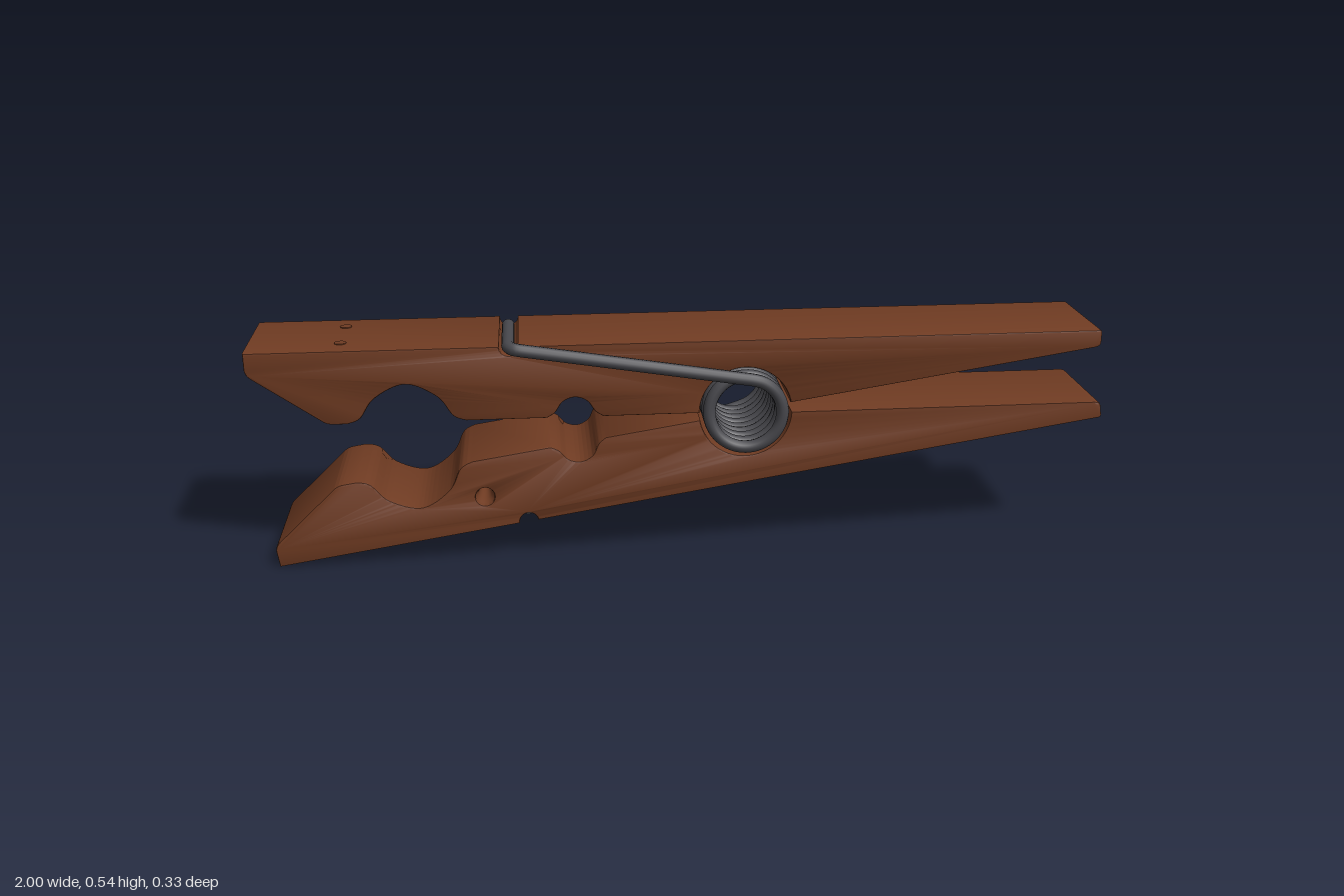
import * as THREE from 'three';
import { toCreasedNormals } from 'three/addons/utils/BufferGeometryUtils.js';

const PIVOT = new THREE.Vector2(0.137, 0.355); // centre of the spring coil
const OPEN = THREE.MathUtils.degToRad(8.9);    // angle between the two jaws
const DEPTH = 0.265, BEVEL = 0.005;
const COIL_R = 0.085, WIRE_R = 0.0148, WIRE_Z = 0.15;

const pts = (list) => list.map(([x, y]) => new THREE.Vector2(x, y));

// Side profile of one wooden half
function jawShape() {
  const s = new THREE.Shape();
  s.moveTo(-1, 0.53);
  s.lineTo(-1, 0.492);
  s.quadraticCurveTo(-1, 0.478, -0.985, 0.467);
  s.lineTo(-0.835, 0.362);
  s.quadraticCurveTo(-0.825, 0.355, -0.81, 0.355);
  s.lineTo(-0.78, 0.355);
  // large gripping hollow
  s.splineThru(pts([[-0.75, 0.368], [-0.715, 0.415], [-0.645, 0.446],
    [-0.575, 0.415], [-0.54, 0.368], [-0.51, 0.355]]));
  s.lineTo(-0.325, 0.355);
  // small hollow
  s.splineThru(pts([[-0.306, 0.368], [-0.288, 0.393], [-0.26, 0.403],
    [-0.232, 0.393], [-0.214, 0.368], [-0.195, 0.355]]));
  // seat for the coil
  s.lineTo(PIVOT.x - 0.108, PIVOT.y);
  s.absarc(PIVOT.x, PIVOT.y, 0.108, Math.PI, 0.18, true);
  // tapered handle
  s.lineTo(0.965, 0.487);
  s.quadraticCurveTo(0.98, 0.49, 0.98, 0.5);
  s.lineTo(0.98, 0.522);
  s.quadraticCurveTo(0.98, 0.53, 0.972, 0.53);
  // groove for the wire
  s.lineTo(-0.386, 0.53);
  s.absarc(-0.408, 0.53, 0.022, 0, -Math.PI, true);
  s.closePath();
  return s;
}

function jawMesh(name, material, hole) {
  const shape = jawShape();
  if (hole) {
    const h = new THREE.Path();
    h.absarc(hole.x, hole.y, 0.022, 0, Math.PI * 2, true);
    shape.holes.push(h);
  }
  const geo = new THREE.ExtrudeGeometry(shape, {
    depth: DEPTH - 2 * BEVEL, curveSegments: 20, bevelEnabled: true,
    bevelThickness: BEVEL, bevelSize: BEVEL, bevelOffset: -BEVEL, bevelSegments: 2,
  });
  geo.translate(-PIVOT.x, -PIVOT.y, -DEPTH / 2 + BEVEL);
  const mesh = new THREE.Mesh(toCreasedNormals(geo, 0.6), material);
  mesh.name = name;
  return mesh;
}

// Wire points for one arm, from its free end to the coil, relative to the pivot
function armPoints() {
  const a = THREE.MathUtils.degToRad(80.8);
  const end = new THREE.Vector3(COIL_R * Math.cos(a), COIL_R * Math.sin(a), WIRE_Z);
  const dir = new THREE.Vector3(-Math.sin(a), Math.cos(a), 0);
  const corner = end.clone().addScaledVector(dir, 0.567);
  const list = [];
  for (const z of [-0.05, 0, 0.06, 0.11]) list.push(new THREE.Vector3(corner.x, corner.y, z));
  const r = 0.024;
  for (let i = 0; i <= 5; i++) { // rounded corner
    const t = (i / 5) * Math.PI / 2;
    list.push(corner.clone().addScaledVector(dir, -r * (1 - Math.cos(t)))
      .setZ(WIRE_Z - r + r * Math.sin(t)));
  }
  for (const d of [0.5, 0.4, 0.25, 0.1, 0.03]) list.push(end.clone().addScaledVector(dir, d));
  return list;
}

function buildSpring(material) {
  const spring = new THREE.Group();
  spring.name = 'spring';
  const first = armPoints();
  const flip = new THREE.Euler(Math.PI, 0, -OPEN);
  const second = armPoints().map((p) => p.applyEuler(flip)).reverse();
  const start = THREE.MathUtils.degToRad(80.8);
  const sweep = 2 * start - OPEN + Math.PI * 18;
  const coil = [];
  const n = 230;
  for (let i = 0; i <= n; i++) {
    const a = start - sweep * i / n;
    coil.push(new THREE.Vector3(COIL_R * Math.cos(a), COIL_R * Math.sin(a),
      WIRE_Z * (1 - 2 * i / n)));
  }
  const path = new THREE.CatmullRomCurve3([...first, ...coil, ...second]);
  path.arcLengthDivisions = 4000;
  const wire = new THREE.Mesh(new THREE.TubeGeometry(path, 1000, WIRE_R, 12), material);
  wire.name = 'springWire';
  spring.add(wire);
  // flat wire ends
  [[first[0], -1], [second[second.length - 1], 1]].forEach(([p, side]) => {
    const cap = new THREE.Mesh(new THREE.CircleGeometry(WIRE_R, 12), material);
    cap.name = 'wireEnd';
    cap.position.copy(p);
    if (side < 0) cap.rotation.y = Math.PI;
    spring.add(cap);
  });
  return spring;
}

export function createModel() {
  const wood = new THREE.MeshStandardMaterial({ color: 0x6f3b22 });
  wood.name = 'brown wood';
  const metal = new THREE.MeshStandardMaterial({ color: 0x48484d });
  metal.name = 'dark steel';

  const model = new THREE.Group();
  model.name = 'clothespin';

  // Upper half with two small plugs in its top face
  const upper = new THREE.Group();
  upper.name = 'upperJaw';
  upper.add(jawMesh('upperJawWood', wood));
  for (const z of [-0.068, 0.068]) {
    const plug = new THREE.Mesh(new THREE.CylinderGeometry(0.014, 0.014, 0.004, 16), wood);
    plug.name = 'plug';
    plug.position.set(-0.79 - PIVOT.x, 0.53 - PIVOT.y, z);
    upper.add(plug);
  }

  // Lower half, turned over and opened, with a waisted side hole
  const lower = new THREE.Group();
  lower.name = 'lowerJaw';
  const hole = new THREE.Vector2(-0.497, 0.448);
  lower.add(jawMesh('lowerJawWood', wood, hole));
  const lining = new THREE.Mesh(new THREE.LatheGeometry(
    pts([[0.026, 0.13], [0.016, 0.1], [0.01, 0.05], [0.01, -0.05], [0.016, -0.1], [0.026, -0.13]]), 20), wood);
  lining.name = 'sideHole';
  lining.rotation.x = Math.PI / 2;
  lining.position.set(hole.x - PIVOT.x, hole.y - PIVOT.y, 0);
  lower.add(lining);
  lower.rotation.set(Math.PI, 0, -OPEN);

  model.add(upper, lower, buildSpring(metal));
  model.children.forEach((part) => part.position.set(PIVOT.x, PIVOT.y, 0));
  return model;
}
